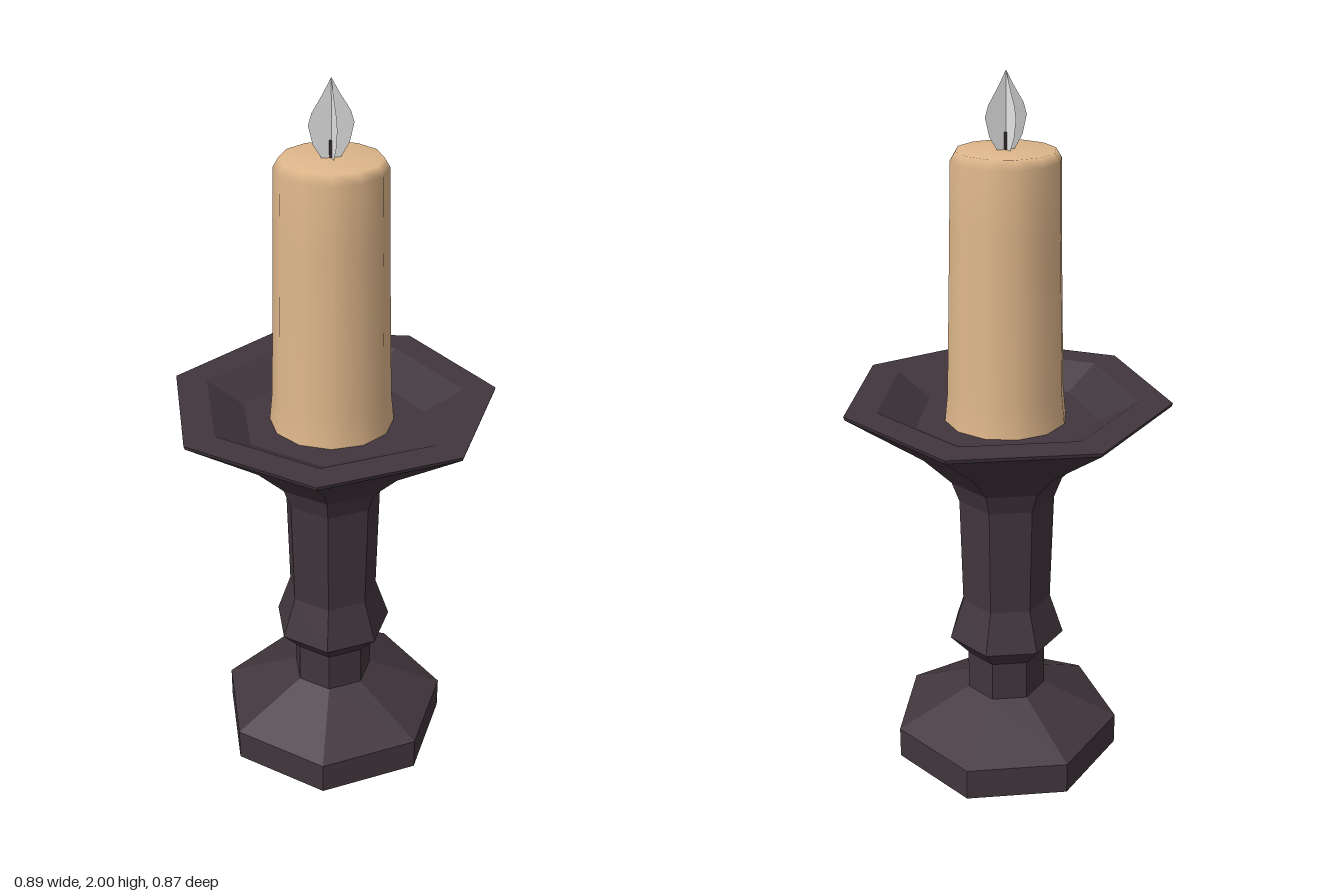
import * as THREE from 'three';

const mat = (name, color, extra = {}) => {
  const m = new THREE.MeshStandardMaterial({ color, ...extra });
  m.name = name;
  return m;
};

// Lathe from [radius, height] pairs, with a corner pointing to the back
const lathe = (profile, sides) => new THREE.LatheGeometry(
  profile.map(([r, y]) => new THREE.Vector2(r, y)), sides, Math.PI);

export function createModel() {
  const darkMetal = mat('dark metal', 0x41363d, { flatShading: true });
  const wax = mat('wax', 0xdfb78b);
  const flameWhite = mat('flame white', 0xe7e7e7, { side: THREE.DoubleSide });

  const group = new THREE.Group();
  group.name = 'candlestick';
  const add = (name, geometry, material) => {
    const mesh = new THREE.Mesh(geometry, material);
    mesh.name = name;
    mesh.position.z = 0.021;
    group.add(mesh);
    return mesh;
  };

  // Seven-sided holder: foot, neck, knop, shaft, flared cup and recessed tray
  add('holder', lathe([
    [0, 0], [0.333, 0], [0.333, 0.095], [0.116, 0.2], [0.116, 0.32],
    [0.17, 0.38], [0.13, 0.5], [0.138, 0.82], [0.16, 0.88], [0.24, 0.96],
    [0.455, 1.11], [0.458, 1.12], [0.366, 1.12], [0.258, 1.06], [0, 1.06],
  ], 7).toNonIndexed(), darkMetal);

  // Tapered candle with a softened top edge
  add('candle', lathe([
    [0.17, 1.06], [0.162, 1.14], [0.15, 1.6], [0.147, 1.775], [0.132, 1.8], [0, 1.8],
  ], 12), wax);

  // Wick
  const wick = new THREE.CylinderGeometry(0.006, 0.006, 0.05, 6);
  wick.translate(0, 1.82, 0);
  add('wick', wick, darkMetal);

  // Flame: two crossed leaf-shaped planes
  const half = [[0.025, 1.8], [0.047, 1.835], [0.059, 1.885], [0.05, 1.915], [0.022, 1.96]];
  const outline = [...half, [0, 2], ...half.map(([x, y]) => [-x, y]).reverse()];
  const leaf = new THREE.ShapeGeometry(
    new THREE.Shape(outline.map(([x, y]) => new THREE.Vector2(x, y))));
  for (const side of [-1, 1]) {
    add(side < 0 ? 'flameRight' : 'flameLeft', leaf, flameWhite).rotation.y = side * Math.PI / 4;
  }
  return group;
}
